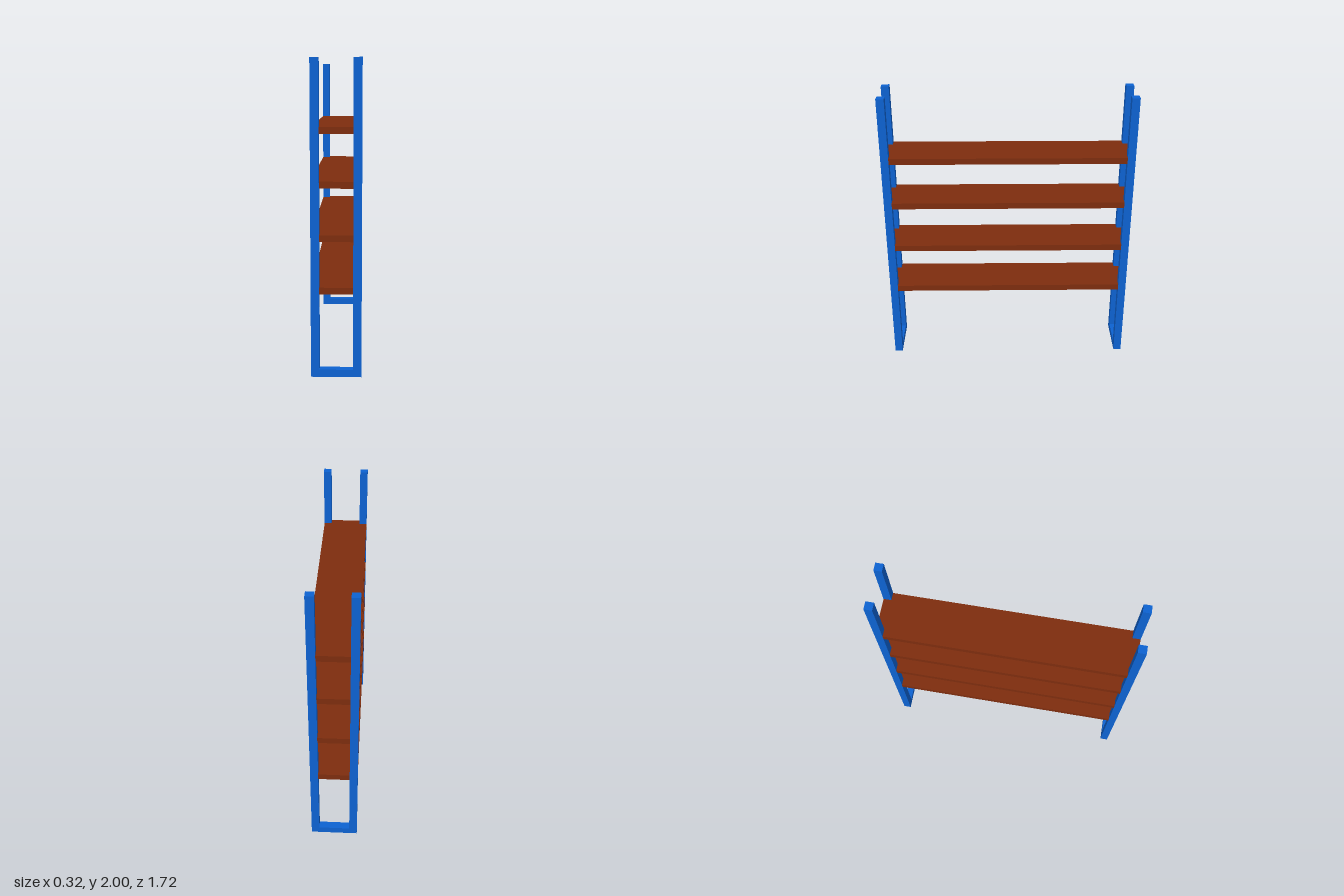
import * as THREE from 'three';

const HALF_W = 0.16, HALF_D = 0.86, HEIGHT = 2;
const POST = 0.054, RAIL = 0.048, SHELF = 0.043;

export function createModel() {
  const model = new THREE.Group();
  model.name = 'shelvingRack';
  const blue = new THREE.MeshStandardMaterial({ name: 'bluePaint', color: 0x0d62d1 });
  const brown = new THREE.MeshStandardMaterial({ name: 'brownWood', color: 0x7d2d0e });

  // U-shaped end frame: two posts joined by a floor rail
  const x = HALF_W, xi = HALF_W - POST;
  const outline = new THREE.Shape([
    [-x, 0], [x, 0], [x, HEIGHT], [xi, HEIGHT],
    [xi, RAIL], [-xi, RAIL], [-xi, HEIGHT], [-x, HEIGHT],
  ].map(([px, py]) => new THREE.Vector2(px, py)));
  const frameGeo = new THREE.ExtrudeGeometry(outline, { depth: POST, bevelEnabled: false });
  for (const [name, z] of [['frontFrame', HALF_D - POST], ['backFrame', -HALF_D]]) {
    const frame = new THREE.Mesh(frameGeo, blue);
    frame.name = name;
    frame.position.z = z;
    model.add(frame);
  }

  // Four boards held between the posts, a hair inside their outer faces
  const shelfGeo = new THREE.BoxGeometry(2 * HALF_W - 0.002, SHELF, 2 * HALF_D - 0.002);
  for (let i = 0; i < 4; i++) {
    const shelf = new THREE.Mesh(shelfGeo, brown);
    shelf.name = `shelf${i + 1}`;
    shelf.position.y = 0.56 + i / 3;
    model.add(shelf);
  }
  return model;
}
